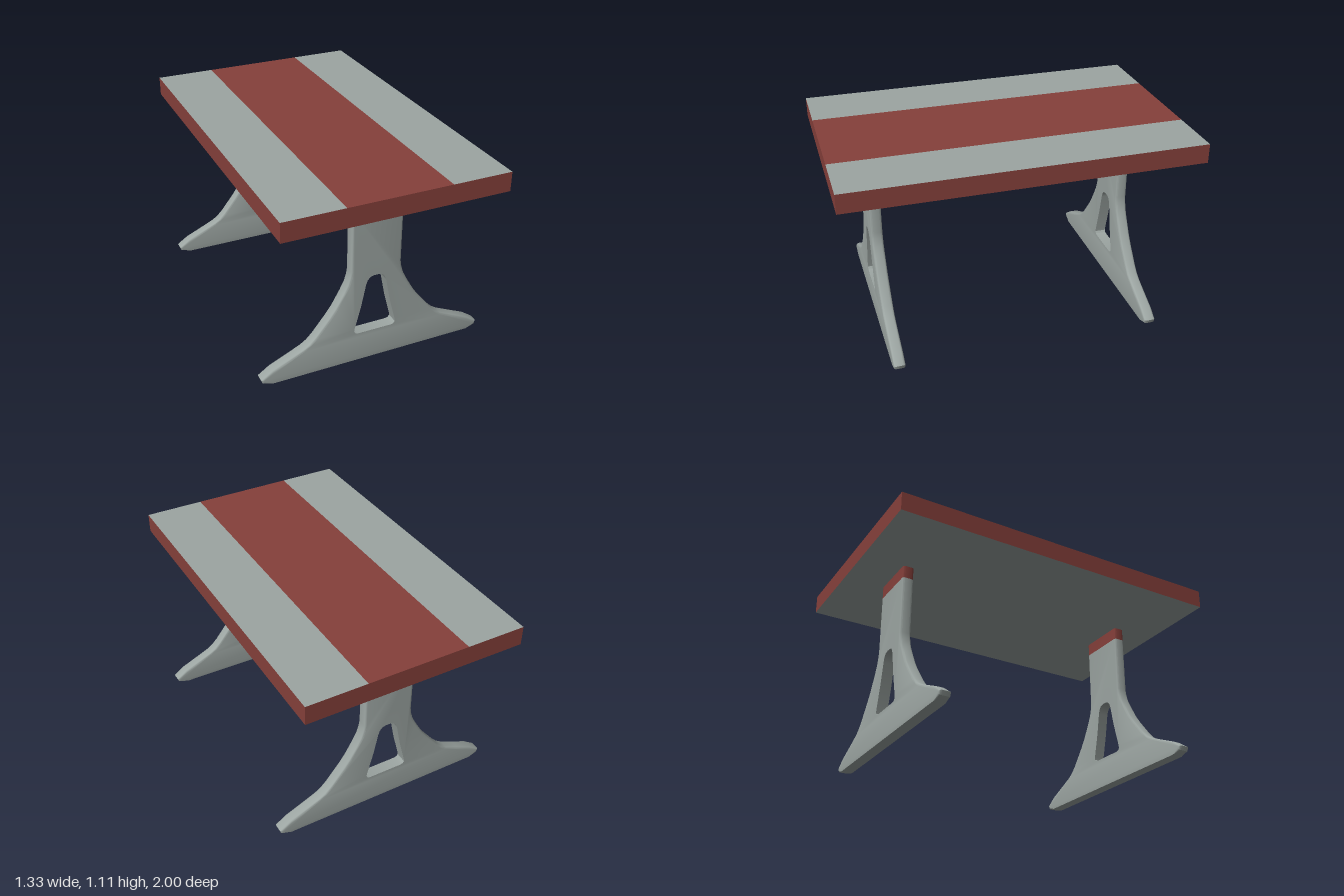
import * as THREE from 'three';
import { toCreasedNormals } from 'three/addons/utils/BufferGeometryUtils.js';

const THICK = 0.065, BEVEL = 0.012, SEAM = 0.925, TOP = 1.0;

// Closed symmetric outline from its right half, listed bottom to top
function mirrored(half) {
  const pts = half.map(([x, y]) => new THREE.Vector2(x, y));
  return pts.concat(pts.slice().reverse().map(p => new THREE.Vector2(-p.x, p.y)));
}

// Plate with softened outer edges; adjust(v) straightens edges that stay sharp
function plate(outline, hole, adjust) {
  const shape = new THREE.Shape(outline);
  if (hole) shape.holes.push(new THREE.Path(hole));
  const geo = new THREE.ExtrudeGeometry(shape, {
    depth: THICK - 2 * BEVEL, bevelThickness: BEVEL, bevelSize: BEVEL,
    bevelOffset: -BEVEL, bevelSegments: 3,
  });
  geo.translate(0, 0, BEVEL - THICK / 2);
  const pos = geo.attributes.position, v = new THREE.Vector3();
  for (let i = 0; i < pos.count; i++) {
    adjust(v.fromBufferAttribute(pos, i));
    pos.setXYZ(i, v.x, v.y, v.z);
  }
  return toCreasedNormals(geo, 0.6);
}

export function createModel() {
  const group = new THREE.Group();
  const grey = new THREE.MeshStandardMaterial({ color: 0x9ca5a2 });
  grey.name = 'grey';
  const red = new THREE.MeshStandardMaterial({ color: 0x86403b });
  red.name = 'brick red';

  // Table top: red rim and centre stripe, grey side bands and underside
  const topGeo = new THREE.BoxGeometry(1.26, 0.11, 2, 3, 1, 1);
  const pos = topGeo.attributes.position;
  for (let i = 0; i < pos.count; i++) {
    const x = pos.getX(i);
    if (Math.abs(x) < 0.5) pos.setX(i, Math.sign(x) * 0.29);
  }
  topGeo.clearGroups();
  [[0, 12, 0], [12, 6, 1], [18, 6, 0], [24, 6, 1], [30, 18, 1], [48, 36, 0]]
    .forEach(g => topGeo.addGroup(...g));
  const tableTop = new THREE.Mesh(topGeo, [red, grey]);
  tableTop.name = 'tableTop';
  tableTop.position.y = TOP + 0.055;
  group.add(tableTop);

  // Flared leg with a rounded triangular opening
  const outline = mirrored([
    [0.6, 0], [0.655, 0.012], [0.664, 0.036], [0.6, 0.08], [0.5, 0.125],
    [0.42, 0.162], [0.385, 0.185], [0.35, 0.22], [0.27, 0.32], [0.235, 0.37],
    [0.19, 0.45], [0.165, 0.5], [0.152, 0.545], [0.147, 0.58], [0.147, SEAM],
  ]);
  const hole = mirrored([
    [0.1, 0.177], [0.115, 0.181], [0.124, 0.193], [0.122, 0.21], [0.086, 0.35],
    [0.06, 0.48], [0.052, 0.505], [0.037, 0.523], [0.015, 0.53],
  ]);
  const legGeo = plate(outline, hole, v => {
    if (v.y > SEAM - 0.03) v.y = SEAM;
    else if (v.y < 0.02 && Math.abs(v.x) < 0.61) v.y = 0;
    else if (Math.abs(v.x) < 0.138 && v.y > 0.15 && v.y < 0.55) {
      const near = hole.reduce((a, b) =>
        Math.hypot(a.x - v.x, a.y - v.y) < Math.hypot(b.x - v.x, b.y - v.y) ? a : b);
      v.x = near.x;
      v.y = near.y;
    }
  });

  // Red collar joining the leg to the top
  const collarGeo = plate(mirrored([[0.147, SEAM], [0.147, TOP]]), null, v => {
    v.y = v.y < (SEAM + TOP) / 2 ? SEAM : TOP;
  });

  for (const [name, z] of [['front', 0.743], ['back', -0.73]]) {
    const support = new THREE.Group();
    support.name = name + 'Support';
    const leg = new THREE.Mesh(legGeo, grey);
    leg.name = name + 'Leg';
    const collar = new THREE.Mesh(collarGeo, red);
    collar.name = name + 'Collar';
    support.add(leg, collar);
    support.position.z = z;
    group.add(support);
  }
  return group;
}
